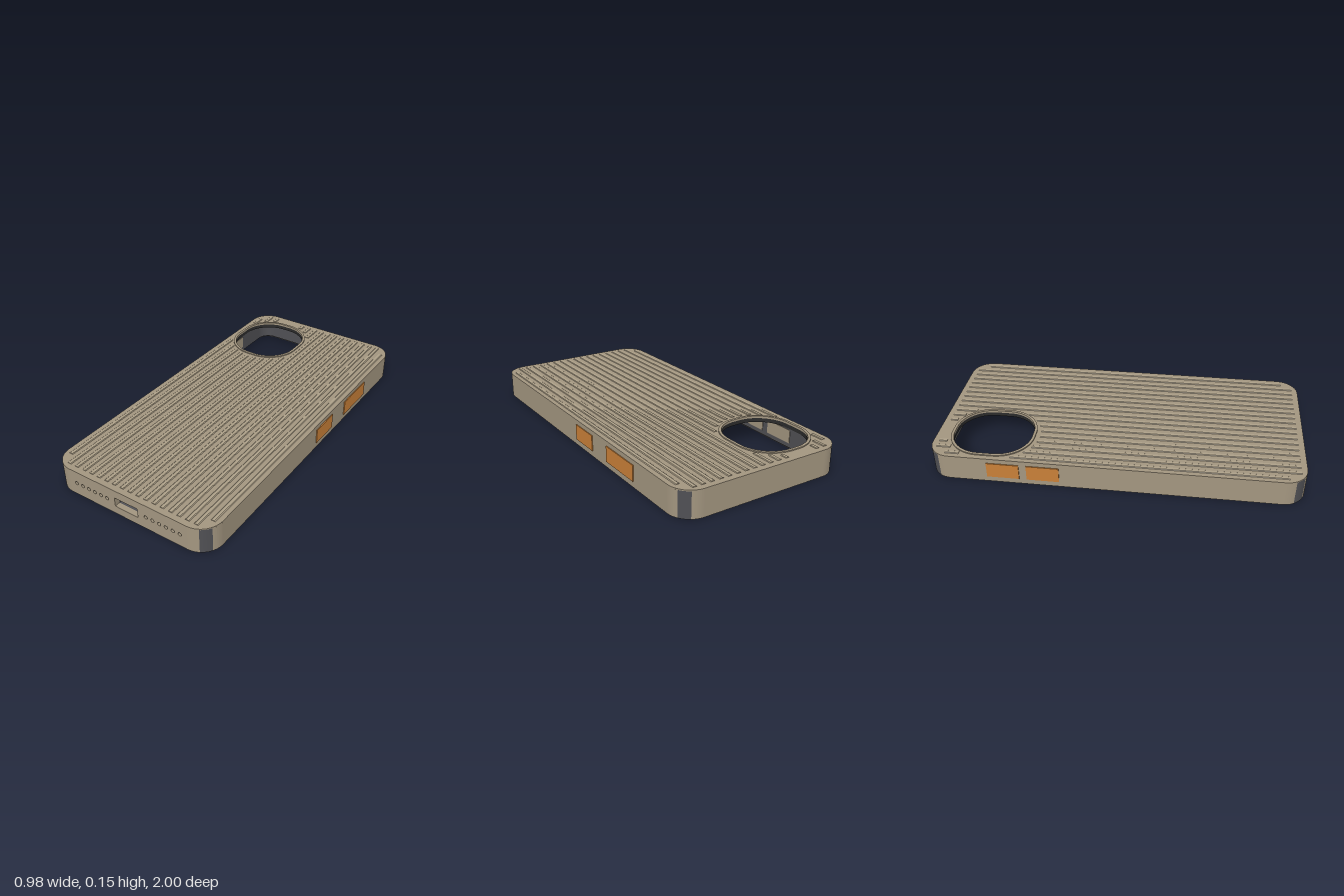
import * as THREE from 'three';
import { toCreasedNormals } from 'three/addons/utils/BufferGeometryUtils.js';

const W = 0.484, L = 1, R = 0.12;            // half width, half length, corner radius
const WALL = 0.03, LINING = 0.012;           // shell and lining thickness
const CAP = 0.14, TOP = 0.146, FLOOR = 0.118;
const CAM = { x: -0.243, z: -0.69, w: 0.197, h: 0.217, r: 0.175 };

const mat = (color) => new THREE.MeshStandardMaterial({ color });
const tan = mat(0xa39680), ridgeTan = mat(0xaea189), dark = mat(0x505054);
const black = mat(0x2b2b2b), orange = mat(0xc98038);

// Rounded rectangle outline, usable as a shape or a hole
function roundRect(target, cx, cy, w, h, r) {
  target.absarc(cx + w - r, cy + h - r, r, 0, Math.PI / 2);
  target.absarc(cx - w + r, cy + h - r, r, Math.PI / 2, Math.PI);
  target.absarc(cx - w + r, cy - h + r, r, Math.PI, Math.PI * 1.5);
  target.absarc(cx + w - r, cy - h + r, r, Math.PI * 1.5, Math.PI * 2);
  target.closePath();
  return target;
}

// Extrude a plan shape (x, -z) from y0 up to y1
function slab(shape, y0, y1) {
  const g = new THREE.ExtrudeGeometry(shape, { depth: y1 - y0, bevelEnabled: false, curveSegments: 16 });
  g.rotateX(-Math.PI / 2).translate(0, y0, 0);
  return toCreasedNormals(g, 0.5);
}

export function createModel() {
  const model = new THREE.Group();
  const add = (name, geometry, material, parent = model) => {
    const m = new THREE.Mesh(geometry, material);
    m.name = name;
    parent.add(m);
    return m;
  };
  const cameraHole = () => roundRect(new THREE.Path(), CAM.x, -CAM.z, CAM.w, CAM.h, CAM.r);

  // Back panel and its dark inner face
  const panel = roundRect(new THREE.Shape(), 0, 0, W, L, R);
  panel.holes.push(cameraHole());
  add('backPanel', slab(panel, CAP, TOP), tan);
  const inner = roundRect(new THREE.Shape(), 0, 0, W - WALL, L - WALL, R - WALL);
  inner.holes.push(cameraHole());
  add('innerBackLining', slab(inner, FLOOR, CAP), black);

  // Raised ring around the camera opening
  const ring = roundRect(new THREE.Shape(), CAM.x, -CAM.z, CAM.w + 0.015, CAM.h + 0.015, CAM.r + 0.015);
  ring.holes.push(cameraHole());
  add('cameraRing', slab(ring, TOP, 0.152), tan);

  // Straight walls; the front one has the port and speaker holes cut through
  const sx = W - R, sz = L - R;
  function wall(name, half, y0, y1, thick, material, offset, angle, ports) {
    const s = new THREE.Shape();
    s.moveTo(-half, y0).lineTo(half, y0).lineTo(half, y1).lineTo(-half, y1).closePath();
    if (ports) {
      s.holes.push(new THREE.Path().moveTo(-0.072, 0.047).lineTo(-0.072, 0.1)
        .lineTo(0.072, 0.1).lineTo(0.072, 0.047).closePath());
      for (const side of [-1, 1]) for (let i = 0; i < 6; i++) {
        s.holes.push(new THREE.Path().absarc(side * (0.122 + 0.0405 * i), 0.073, 0.01, 0, Math.PI * 2));
      }
    }
    const g = new THREE.ExtrudeGeometry(s, { depth: thick, bevelEnabled: false, curveSegments: 10 });
    g.translate(0, 0, offset - thick).rotateY(angle);
    add(name, toCreasedNormals(g, 0.8), material);
  }
  const sides = [['front', sx, L], ['left', sz, W], ['back', sx, L], ['right', sz, W]];
  sides.forEach(([name, half, dist], i) => {
    const a = i * Math.PI / 2;
    wall(name + 'Wall', half, 0, CAP, WALL, tan, dist, a, i === 0);
    wall(name + 'Lining', half, 0.01, FLOOR, LINING, dark, dist - WALL, a, i === 0);
  });

  // Rounded corners: tan, dark bumper, tan, with lining inside
  function arc(cx, cy, r0, r1, a0, a1, y0, y1) {
    const s = new THREE.Shape();
    s.absarc(cx, cy, r1, a0, a1, false);
    s.absarc(cx, cy, r0, a1, a0, true);
    s.closePath();
    return slab(s, y0, y1);
  }
  [[1, 1], [-1, 1], [-1, -1], [1, -1]].forEach(([ix, iy], q) => {
    const a = q * Math.PI / 2, cx = ix * sx, cy = iy * sz, step = Math.PI / 6;
    for (let k = 0; k < 3; k++) {
      add(k === 1 ? 'cornerBumper' : 'cornerWall',
        arc(cx, cy, R - WALL, R, a + k * step, a + (k + 1) * step, 0, k === 1 ? TOP - 0.001 : CAP),
        k === 1 ? dark : tan).scale.y = k === 1 ? CAP / (TOP - 0.001) : 1;
    }
    add('cornerLining', arc(cx, cy, R - WALL - LINING, R - WALL, a, a + Math.PI / 2, 0.01, FLOOR), dark);
  });

  // Side buttons, with a matching plate on the inside of the wall
  const buttons = [[1, -0.185, -0.005], [1, -0.595, -0.335], [-1, -0.675, -0.5], [-1, -0.46, -0.285]];
  for (const [side, z0, z1] of buttons) {
    const zc = (z0 + z1) / 2, len = z1 - z0;
    add('sideButton', new THREE.BoxGeometry(0.012, 0.087, len), orange)
      .position.set(side * (W - 0.001), 0.0765, zc);
    add('buttonBacking', new THREE.BoxGeometry(0.006, 0.075, len), tan)
      .position.set(side * (W - WALL - LINING), 0.0735, zc);
  }

  // Grip ridges, interrupted around the camera ring
  const grip = new THREE.Group();
  grip.name = 'gripRidges';
  model.add(grip);
  const profile = new THREE.Shape();
  profile.moveTo(-0.012, 0).lineTo(0.012, 0).lineTo(0.008, 0.003).lineTo(-0.008, 0.003).closePath();
  const ridge = (x, z0, z1) => {
    if (z1 - z0 < 0.025) return;
    const g = new THREE.ExtrudeGeometry(profile, { depth: z1 - z0, bevelEnabled: false });
    add('ridge', g, ridgeTan, grip).position.set(x, TOP, z0);
  };
  for (let i = -9; i <= 9; i++) {
    const x = i * 0.0495, end = Math.abs(i) === 9 ? 0.905 : 0.967;
    const t = (x - CAM.x) / 0.24;
    if (Math.abs(t) < 1) {
      const d = 0.26 * Math.sqrt(1 - t * t);
      ridge(x, -end, CAM.z - d);
      ridge(x, CAM.z + d, end);
    } else ridge(x, -end, end);
  }
  return model;
}
